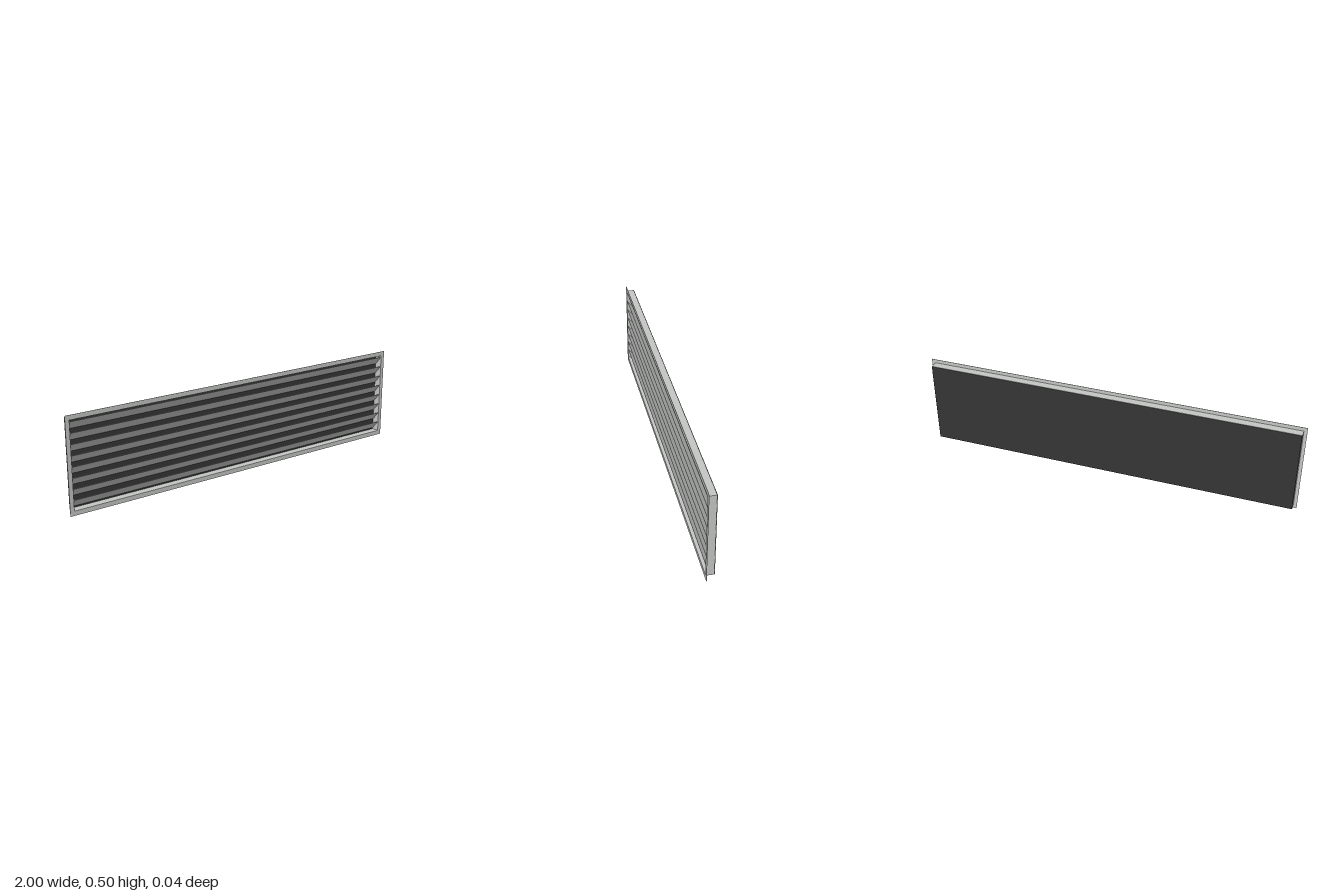
import * as THREE from 'three';

const W = 1.965, H = 0.455, CY = 0.2475; // sleeve size and centre height

function rectPath(Type, w, h) {
  const p = new Type();
  p.moveTo(-w / 2, -h / 2);
  p.lineTo(w / 2, -h / 2);
  p.lineTo(w / 2, h / 2);
  p.lineTo(-w / 2, h / 2);
  p.closePath();
  return p;
}

// Rectangular ring extruded from z0 to z1
function ring(w, h, holeW, holeH, z0, z1) {
  const shape = rectPath(THREE.Shape, w, h);
  shape.holes.push(rectPath(THREE.Path, holeW, holeH));
  const geo = new THREE.ExtrudeGeometry(shape, { depth: z1 - z0, bevelEnabled: false });
  return geo.translate(0, CY, z0);
}

export function createModel() {
  const group = new THREE.Group();
  const metal = new THREE.MeshStandardMaterial({ color: 0xc4c6c4 });
  metal.name = 'light grey metal';
  const dark = new THREE.MeshStandardMaterial({ color: 0x353535 });
  dark.name = 'dark backing';

  const add = (name, geo, mat) => {
    const mesh = new THREE.Mesh(geo, mat);
    mesh.name = name;
    group.add(mesh);
    return mesh;
  };

  // Thin front flange and the sleeve behind it
  const innerW = W - 0.008, innerH = H - 0.008;
  add('flange', ring(2, 0.495, innerW, innerH, 0.02, 0.022), metal);
  add('sleeve', ring(W, H, innerW, innerH, -0.019, 0.0205), metal);

  // Back panel with a slightly softened rear edge
  const b = 0.003;
  const panel = new THREE.ExtrudeGeometry(rectPath(THREE.Shape, W - 2 * b, H - 2 * b), {
    depth: 0.0005, bevelSize: b, bevelThickness: b / 2, bevelSegments: 2,
  });
  add('backPanel', panel.translate(0, CY, -0.0205), dark);

  // Eight slats, leaning forward at the top
  const slatGeo = new THREE.BoxGeometry(innerW, 0.06, 0.0016);
  for (let i = 0; i < 8; i++) {
    const slat = add('slat' + (i + 1), slatGeo, metal);
    slat.position.set(0, CY + (i - 3.5) * 0.055, 0.001);
    slat.rotation.x = 0.71;
  }
  return group;
}
